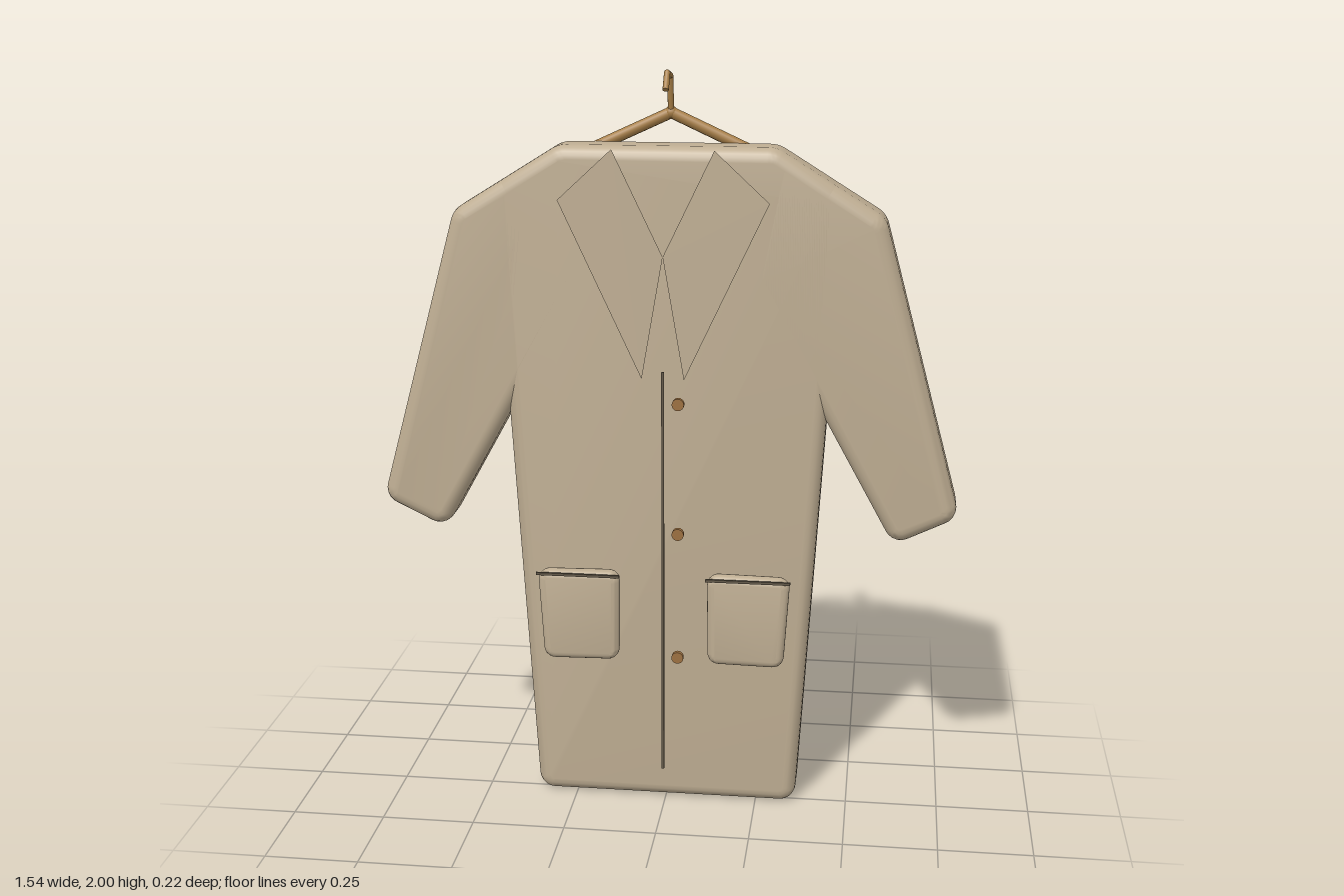
import * as THREE from 'three';
import { toCreasedNormals } from 'three/addons/utils/BufferGeometryUtils.js';

const mat = (name, color, side = THREE.FrontSide) => {
  const m = new THREE.MeshStandardMaterial({ color, side });
  m.name = name;
  return m;
};

// Polygon whose corners are rounded with short curves
function roundedShape(points, r) {
  const pts = points.map(([x, y]) => new THREE.Vector2(x, y));
  const toward = (a, b) => a.clone().add(b.clone().sub(a).setLength(r));
  const shape = new THREE.Shape();
  pts.forEach((p, i) => {
    const a = toward(p, pts[(i + pts.length - 1) % pts.length]);
    const b = toward(p, pts[(i + 1) % pts.length]);
    if (i === 0) shape.moveTo(a.x, a.y);
    else shape.lineTo(a.x, a.y);
    shape.quadraticCurveTo(p.x, p.y, b.x, b.y);
  });
  shape.closePath();
  return shape;
}

// Soft slab between two depths; the bevel grows outward from the outline
function slab(points, back, front, bevel, r) {
  const geo = new THREE.ExtrudeGeometry(roundedShape(points, r), {
    depth: front - back - 2 * bevel, bevelEnabled: true, bevelThickness: bevel,
    bevelSize: bevel, bevelSegments: 5, curveSegments: 5,
  });
  geo.translate(0, 0, back + bevel);
  return toCreasedNormals(geo, 0.7);
}

const mirrored = (points, s) => points.map(([x, y]) => [x * s, y]);

export function createModel() {
  const group = new THREE.Group();
  const fabric = mat('fabric', 0xbfae93);
  const lapelFabric = mat('lapelFabric', 0xbfae93, THREE.DoubleSide);
  const brass = mat('hangerWood', 0xa87f47);
  const buttonMat = mat('button', 0x9c7040);
  const seamMat = mat('seam', 0x625848);

  const add = (name, geo, material, parent = group) => {
    const mesh = new THREE.Mesh(geo, material);
    mesh.name = name;
    parent.add(mesh);
    return mesh;
  };

  // Coat body
  const side = [[0.325, 0.04], [0.42, 1.682], [0.27, 1.775]];
  add('coatBody', slab([...side, ...mirrored(side, -1).reverse()], -0.11, 0.035, 0.035, 0.012), fabric);

  for (const s of [1, -1]) {
    const label = s > 0 ? 'left' : 'right';

    // Sleeve, running into the body at the shoulder
    const sleeve = [[0.3, 1.756], [0.25, 1.48], [0.62, 0.812], [0.735, 0.868], [0.53, 1.614]];
    add(label + 'Sleeve', slab(mirrored(sleeve, s), -0.11, 0.035, 0.035, 0.012), fabric);

    // Lapel
    const lapel = [[0.13, 1.81], [0.27, 1.68], [0.055, 1.22], [0, 1.54]];
    const lapelShape = new THREE.Shape(mirrored(lapel, s).map(([x, y]) => new THREE.Vector2(x, y)));
    add(label + 'Lapel', new THREE.ShapeGeometry(lapelShape).translate(0, 0, 0.091), lapelFabric);

    // Patch pocket with a thin trim along its opening
    const pocket = [[0.14, 0.455], [0.305, 0.452], [0.318, 0.665], [0.138, 0.668]];
    add(label + 'Pocket', slab(mirrored(pocket, s), 0.055, 0.102, 0.02, 0.012), fabric);
    add(label + 'PocketTrim', new THREE.BoxGeometry(0.225, 0.007, 0.007)
      .translate(s * 0.228, 0.679, 0.106), seamMat);
  }

  // Front closure
  add('frontSeam', new THREE.BoxGeometry(0.007, 1.12, 0.006).translate(0, 0.68, 0.09), seamMat);
  [0.45, 0.8, 1.155].forEach((y) => {
    add('button', new THREE.CylinderGeometry(0.016, 0.016, 0.014, 20)
      .rotateX(Math.PI / 2).translate(0.04, y, 0.09), buttonMat);
  });

  // Hanger: two sloping arms and an angular hook
  const hanger = new THREE.Group();
  hanger.name = 'hanger';
  group.add(hanger);
  const rod = (name, a, b, r) => {
    const p = new THREE.Vector3(...a), q = new THREE.Vector3(...b);
    const dir = q.clone().sub(p);
    const mesh = add(name, new THREE.CylinderGeometry(r, r, dir.length(), 12), brass, hanger);
    mesh.position.copy(p).add(q).multiplyScalar(0.5);
    mesh.quaternion.setFromUnitVectors(new THREE.Vector3(0, 1, 0), dir.normalize());
  };
  for (const s of [1, -1]) rod('hangerArm', [0, 1.885, -0.09], [s * 0.36, 1.72, -0.09], 0.015);
  const hook = [[0, 1.87, -0.088], [0, 1.98, -0.068], [0, 1.992, -0.004], [0, 1.952, 0.028]];
  hook.slice(1).forEach((p, i) => rod('hangerHook', hook[i], p, 0.008));
  for (const p of hook.slice(1, 3)) {
    add('hookBend', new THREE.SphereGeometry(0.008, 12, 8), brass, hanger).position.set(...p);
  }
  add('hangerJoint', new THREE.SphereGeometry(0.017, 14, 10), brass, hanger).position.set(0, 1.885, -0.09);

  return group;
}
